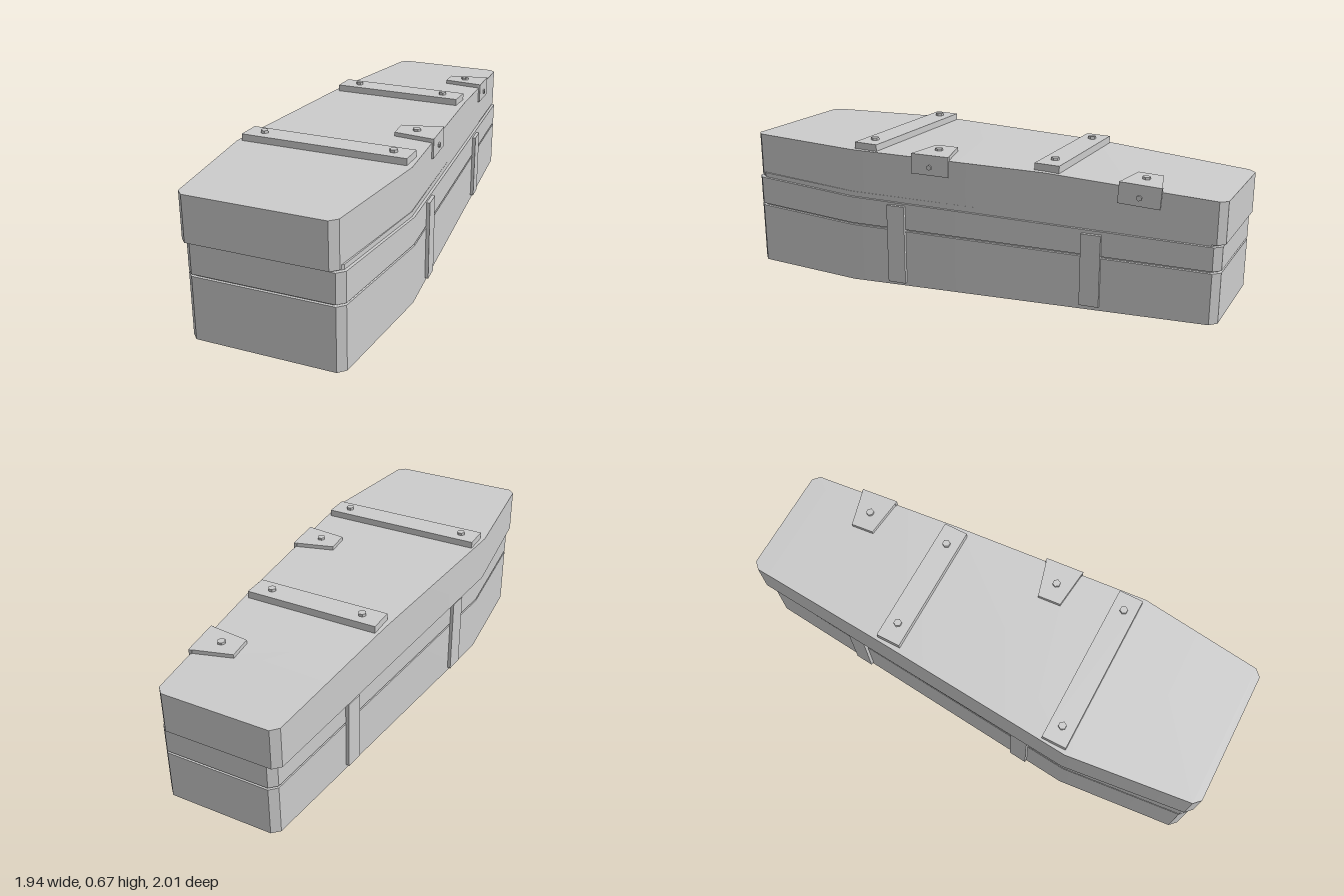
import * as THREE from 'three';
import { toCreasedNormals } from 'three/addons/utils/BufferGeometryUtils.js';

const material = new THREE.MeshStandardMaterial({ color: 0xcccccc });

function add(parent, name, geometry, x = 0, y = 0, z = 0) {
  const mesh = new THREE.Mesh(geometry, material);
  mesh.name = name;
  mesh.position.set(x, y, z);
  parent.add(mesh);
  return mesh;
}

// Tapered coffin-shaped slab lofted along x; each station is [x, halfWidth, yBottom, yTop]
function slab(stations) {
  const pos = [], index = [];
  for (const [x, w, b, t] of stations) pos.push(x, b, w, x, t, w, x, t, -w, x, b, -w);
  const last = (stations.length - 1) * 4;
  for (let i = 0; i < last; i += 4) {
    for (let j = 0; j < 4; j++) {
      const a = i + j, b = i + (j + 1) % 4;
      index.push(a, a + 4, b, b, a + 4, b + 4);
    }
  }
  index.push(0, 1, 2, 0, 2, 3, last, last + 2, last + 1, last, last + 3, last + 2);
  const g = new THREE.BufferGeometry();
  g.setAttribute('position', new THREE.Float32BufferAttribute(pos, 3));
  g.setIndex(index);
  return toCreasedNormals(g, 0.4);
}

// Stations shared by lid and base: chamfered head, wide shoulder, narrow chamfered foot
function body(x0, x1, head, shoulder, foot, bottom, top) {
  const knee = 0.41;
  const kneeW = shoulder + (foot - shoulder) * (knee + 0.5) / (x1 - 0.03 + 0.5);
  return slab([
    [x0, head - 0.03], [x0 + 0.03, head], [-0.5, shoulder],
    [knee, kneeW], [x1 - 0.03, foot], [x1, foot - 0.03],
  ].map(([x, w]) => [x, w, bottom(x), top(x)]));
}

const ramp = (a, b) => (x) => a + (b - a) * (x + 1.08) / 2.23;
const lidTop = (x) => x < -0.5 ? 0.625
  : x < 0.41 ? 0.625 - 0.0165 * (x + 0.5)
  : 0.61 - 0.0608 * (x - 0.41);

function bolt(parent, x, y, z, radius = 0.018) {
  const g = new THREE.CylinderGeometry(radius, radius, 0.024, 6).toNonIndexed();
  g.computeVertexNormals();
  return add(parent, 'bolt', g, x, y, z);
}

export function createModel() {
  const root = new THREE.Group();
  root.name = 'coffin';
  const coffin = new THREE.Group();
  coffin.name = 'coffinBody';
  coffin.rotation.y = 0.812;
  root.add(coffin);

  // Base: two plank rows separated by a narrow groove
  const base = new THREE.Group();
  base.name = 'base';
  base.position.z = 0.008;
  coffin.add(base);
  add(base, 'lowerPlanks', body(-1.079, 1.145, 0.335, 0.393, 0.262, ramp(0, 0.052), ramp(0.281, 0.27)));
  add(base, 'upperPlanks', body(-1.079, 1.145, 0.335, 0.393, 0.262, ramp(0.29, 0.279), ramp(0.42, 0.38)));
  add(base, 'innerCore', body(-1.067, 1.133, 0.323, 0.381, 0.25, ramp(0.03, 0.08), ramp(0.44, 0.41)));

  // Upright straps on both long sides
  for (const side of [1, -1]) {
    for (const [x, y0, y1] of [[-0.272, 0.035, 0.395], [0.62, 0.06, 0.375]]) {
      const z = side * (0.393 - 0.081 * (x + 0.5) + 0.002);
      const strap = add(base, 'sideStrap', new THREE.BoxGeometry(0.085, y1 - y0, 0.026), x, (y0 + y1) / 2, z);
      strap.rotation.y = side * 0.081;
    }
  }

  // Lid, set slightly off to one side
  const lid = new THREE.Group();
  lid.name = 'lid';
  lid.position.z = -0.011;
  coffin.add(lid);
  add(lid, 'lidPanel', body(-1.086, 1.153, 0.332, 0.398, 0.27, ramp(0.424, 0.387), lidTop));

  // Straps across the lid, bolted at both ends
  for (const [x, length, boltZ] of [[-0.438, 0.75, 0.296], [0.407, 0.61, 0.217]]) {
    const y = lidTop(x);
    const strap = new THREE.Group();
    strap.name = 'lidStrap';
    strap.position.set(x, y, -0.003);
    strap.rotation.z = -0.0165;
    lid.add(strap);
    add(strap, 'strapBar', new THREE.BoxGeometry(0.112, 0.034, length), 0, 0.013, 0);
    for (const side of [1, -1]) bolt(strap, 0, 0.03, side * boltZ);
  }

  // Corner clips on one edge: tapered top plate and a folded-down flap
  const plate = new THREE.Shape([[-0.088, 0], [0.088, 0], [0.053, 0.185], [-0.053, 0.185]]
    .map(([x, y]) => new THREE.Vector2(x, y)));
  const plateGeo = new THREE.ExtrudeGeometry(plate, { depth: 0.022, bevelEnabled: false });
  plateGeo.rotateX(-Math.PI / 2);
  for (const [x, slope] of [[-0.11, -0.0165], [0.812, -0.0608]]) {
    const clip = new THREE.Group();
    clip.name = 'edgeClip';
    clip.position.set(x, lidTop(x), 0.398 - 0.0788 * (x + 0.5) + 0.008);
    clip.rotation.set(0, 0.0787, slope);
    lid.add(clip);
    add(clip, 'clipPlate', plateGeo, 0, -0.004, 0);
    add(clip, 'clipFlap', new THREE.BoxGeometry(0.176, 0.09, 0.014), 0, -0.027, -0.007);
    bolt(clip, 0, 0.016, -0.1);
    bolt(clip, 0, -0.036, -0.004, 0.012).rotation.x = Math.PI / 2;
  }
  return root;
}
